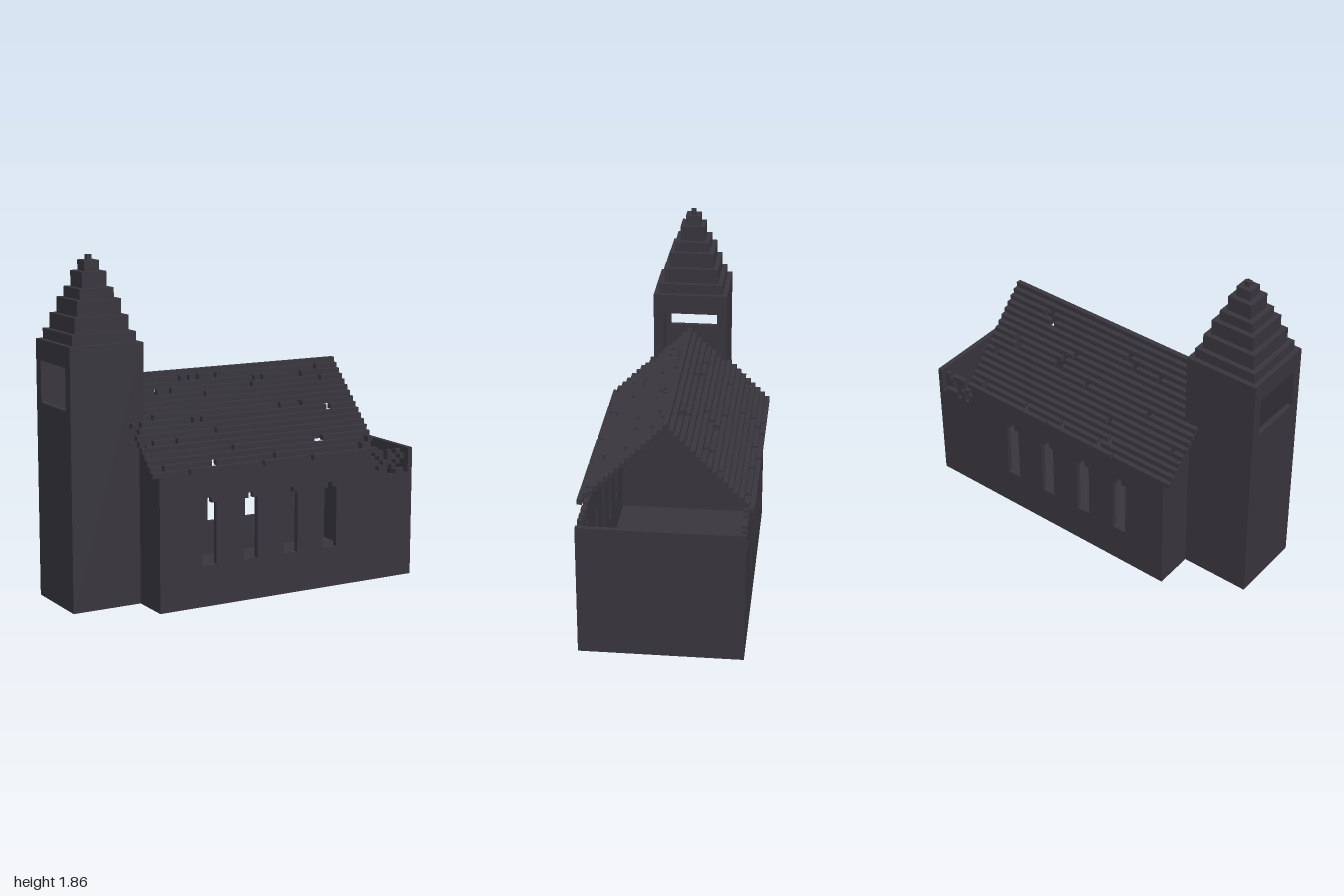
import * as THREE from 'three';
import { mergeGeometries } from 'three/addons/utils/BufferGeometryUtils.js';

const V = 2 / 71; // size of one block

// Box in block units: x and y count from the left and the ground, z from the centre line
function block(x0, x1, y0, y1, z0, z1) {
  return new THREE.BoxGeometry((x1 - x0) * V, (y1 - y0) * V, (z1 - z0) * V)
    .translate((x0 + x1) / 2 * V - 1, (y0 + y1) / 2 * V, (z0 + z1) / 2 * V);
}

function outline(points, Type = THREE.Shape) {
  return new Type(points.map(([x, y]) => new THREE.Vector2(x * V, y * V)));
}

function rect(x0, x1, y0, y1) {
  return [[x0, y0], [x1, y0], [x1, y1], [x0, y1]];
}

// Missing roof blocks as [position along roof, offset from ridge]
const HOLES = [
  [25, 1], [27, 1], [29, 1], [33, 1], [56, 1], [41, 2], [43, 2], [19, 3], [22, 3], [40, 3], [56, 3],
  [16, 7], [49, 7], [13, 8], [24, 8], [26, 8], [12, 9], [28, 10], [13, 11], [14, 11], [19, 11],
  [30, 13], [49, 13], [50, 13], [60, 14], [14, 15], [25, 15], [61, 15], [19, 16], [35, 16], [46, 16],
  [31, -3], [50, -3], [23, -4], [42, -6], [56, -7], [44, -8], [45, -8], [22, -9], [37, -9], [59, -10],
  [14, -12], [29, -12], [27, -14], [29, -15], [47, -15], [58, -15], [25, -16], [30, -16], [41, -16],
];
// Missing on both slopes
for (const [x, k] of [[51, 2], [52, 2], [29, 4], [44, 7], [55, 8], [38, 15], [58, 15]]) {
  HOLES.push([x, k], [x, -k]);
}

// Broken wall tops, upper row first
const RUINS = {
  front: ['.##.#.#..', '#.#.##.#.', '##.##.#..', '#.##.#...', '####..##.'],
  back: ['.#.###.#.', '#..##.##.', '#.#.#.##.', '##.##....', '##.#.###.'],
};

export function createModel() {
  const model = new THREE.Group();
  const stone = new THREE.MeshStandardMaterial({ color: 0x38363d });
  stone.name = 'dark stone';

  const add = (name, geometries) => {
    const mesh = new THREE.Mesh(mergeGeometries(geometries), stone);
    mesh.name = name;
    model.add(mesh);
  };

  // Tower: two plain walls, two walls with a belfry opening
  add('towerSideWalls', [block(0, 15, 0, 50, 6.5, 7.5), block(0, 15, 0, 50, -7.5, -6.5)]);
  const belfry = [];
  for (const x of [0, 14]) {
    belfry.push(
      block(x, x + 1, 0, 38, -6.5, 6.5),
      block(x, x + 1, 46, 50, -6.5, 6.5),
      block(x, x + 1, 38, 46, 5.5, 6.5),
      block(x, x + 1, 38, 46, -6.5, -5.5),
    );
  }
  add('towerEndWalls', belfry);

  // Stepped spire
  const spire = [];
  let y = 50;
  [2, 3, 3, 2, 3, 2, 1].forEach((h, i) => {
    const half = 6.5 - i;
    spire.push(block(7.5 - half, 7.5 + half, y, y + h, -half, half));
    y += h;
  });
  add('spire', spire);

  // Nave long walls with four stepped windows and a crumbled end
  for (const [side, s] of [['front', 1], ['back', -1]]) {
    const shape = outline([[14, 0], [70, 0], [70, 21], [61, 21], [61, 26], [14, 26]]);
    for (let i = 0; i < 4; i++) {
      const x = 23 + i * 9;
      shape.holes.push(outline([
        [x, 8], [x + 3, 8], [x + 3, 20], [x + 2, 20], [x + 2, 21], [x + 1, 21], [x + 1, 20], [x, 20],
      ], THREE.Path));
    }
    const wall = new THREE.ExtrudeGeometry(shape, { depth: V, bevelEnabled: false })
      .translate(-1, 0, (s * 15 - 0.5) * V);
    add(side + 'NaveWall', [wall]);

    const rubble = [];
    RUINS[side].forEach((row, r) => [...row].forEach((c, i) => {
      if (c === '#') rubble.push(block(61 + i, 62 + i, 25 - r, 26 - r, s * 15 - 0.5, s * 15 + 0.5));
    }));
    add(side + 'BrokenWallTop', rubble);
  }

  // Nave floor and far end wall
  add('floor', [block(15, 70, 0, 1, -14.5, 14.5)]);
  add('endWall', [block(70, 71, 0, 26, -15.5, 15.5)]);

  // Wall and gable steps on both sides of the tower
  const gable = [];
  for (const s of [1, -1]) {
    const piece = (y0, y1, z) => gable.push(block(14, 15, y0, y1, Math.min(s * 7.5, s * z), Math.max(s * 7.5, s * z)));
    piece(0, 26, 14.5);
    for (let j = 0; j < 7; j++) piece(26 + j, 27 + j, 14.5 - j);
  }
  add('gable', gable);

  // Roof: one row of blocks per step, broken by the holes
  const roof = [];
  for (let k = -16; k <= 16; k++) {
    const row = 42 - Math.abs(k);
    const gaps = HOLES.filter((h) => h[1] === k).map((h) => h[0]).sort((a, b) => a - b);
    let start = Math.abs(k) <= 7 ? 15 : 12;
    for (const gap of [...gaps, 62]) {
      if (gap > start) roof.push(block(start, gap, row, row + 1, k - 0.5, k + 0.5));
      start = Math.max(start, gap + 1);
    }
  }
  add('roof', roof);

  return model;
}
